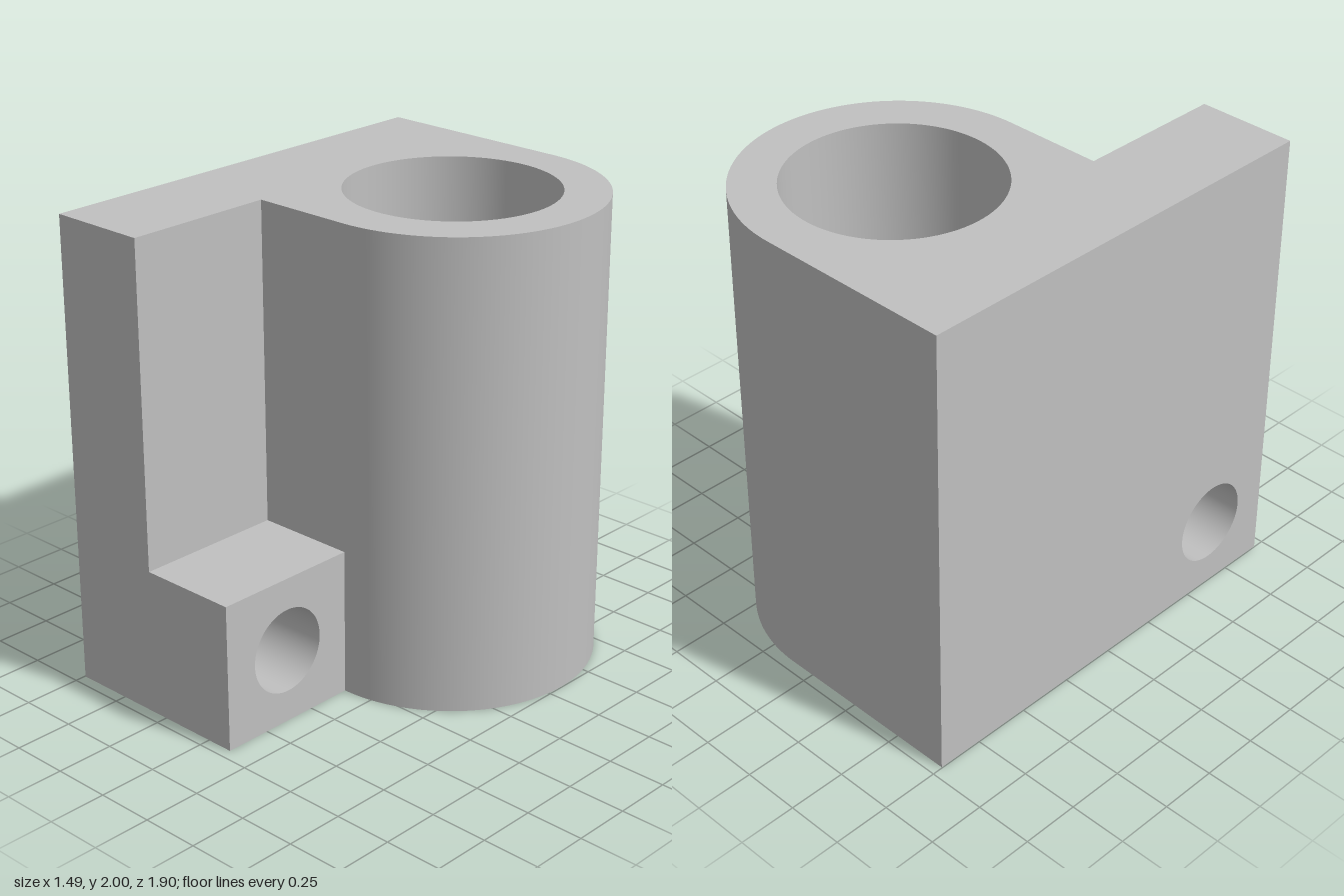
import * as THREE from 'three';
import { toCreasedNormals } from 'three/addons/utils/BufferGeometryUtils.js';

const LEFT = -0.747, PLATE = -0.317, CX = 0.119; // key x positions
const END = 0.952, SEAM = 0.302;                 // key z positions
const R = (END + SEAM) / 2, CZ = SEAM - R;       // sleeve radius and axis

export function createModel() {
  const grey = new THREE.MeshStandardMaterial({ color: 0xc0c0c0 });
  grey.name = 'grey';
  const group = new THREE.Group();
  group.name = 'bracket';

  const add = (name, geometry) => {
    const mesh = new THREE.Mesh(toCreasedNormals(geometry, 0.5), grey);
    mesh.name = name;
    group.add(mesh);
  };
  const extrude = (shape, depth) =>
    new THREE.ExtrudeGeometry(shape, { depth, bevelEnabled: false, curveSegments: 48 });
  const hole = (x, y, r) => new THREE.Path().absarc(x, y, r, 0, Math.PI * 2, true);

  // Upright sleeve: square at one side, round at the other, bored through (shape y is -z)
  const outline = new THREE.Shape();
  outline.moveTo(LEFT, -SEAM);
  outline.lineTo(CX, -SEAM);
  outline.absarc(CX, -CZ, R, -Math.PI / 2, Math.PI / 2, false);
  outline.lineTo(LEFT, END);
  outline.closePath();
  outline.holes.push(hole(CX, -CZ, 0.438));
  add('sleeve', extrude(outline, 2).rotateX(-Math.PI / 2));

  // Parts drilled sideways, extruded along x (shape x is -z)
  const drilled = (name, x0, x1, height) => {
    const s = new THREE.Shape();
    s.moveTo(-END, 0);
    s.lineTo(-SEAM, 0);
    s.lineTo(-SEAM, height);
    s.lineTo(-END, height);
    s.closePath();
    s.holes.push(hole(-0.627, 0.315, 0.18));
    add(name, extrude(s, x1 - x0).rotateY(Math.PI / 2).translate(x0, 0, 0));
  };
  drilled('sidePlate', LEFT, PLATE, 2);
  drilled('footBlock', PLATE, CX, 0.63);

  return group;
}
